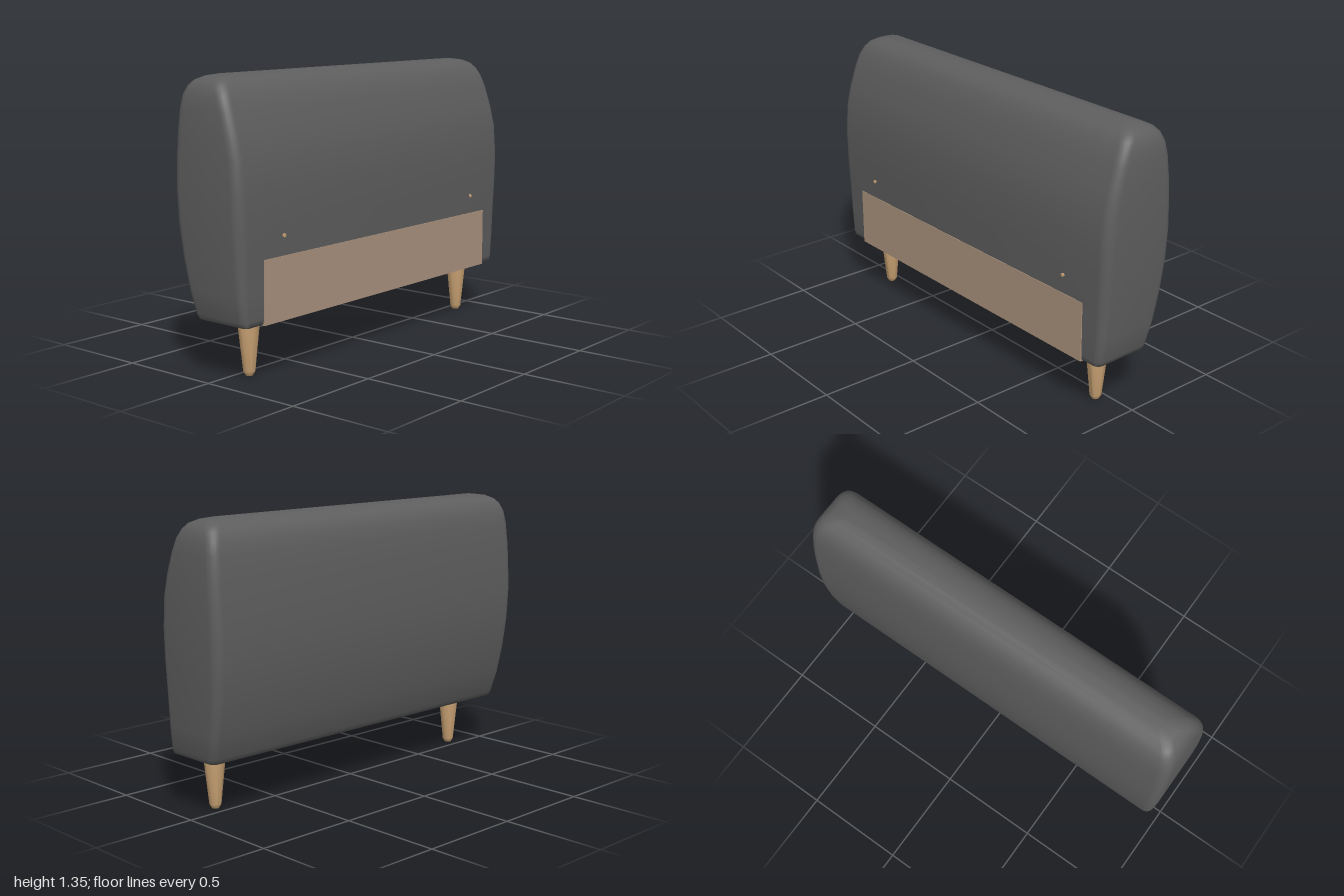
import * as THREE from 'three';
import { toCreasedNormals } from 'three/addons/utils/BufferGeometryUtils.js';

const material = (name, color) => new THREE.MeshStandardMaterial({ name, color });

// Upholstered shell: rounded-rectangle sections stacked upwards, open underneath
function cushionGeometry() {
  // y, back x, front x, half length, corner radius
  const rows = [
    [0.34, -0.09, 0.17, 0.93, 0.02],
    [0.265, -0.085, 0.17, 0.925, 0.02],
    [0.261, -0.095, 0.178, 0.94, 0.025],
    [0.268, -0.108, 0.188, 0.957, 0.03],
    [0.29, -0.119, 0.191, 0.966, 0.035],
    [0.4, -0.152, 0.192, 0.977, 0.04],
    [0.55, -0.182, 0.194, 0.986, 0.045],
    [0.7, -0.2, 0.198, 0.995, 0.05],
    [0.85, -0.205, 0.198, 0.999, 0.05],
    [1.0, -0.199, 0.186, 0.999, 0.05],
    [1.1, -0.192, 0.162, 0.997, 0.05],
    [1.2, -0.182, 0.13, 0.992, 0.05],
    [1.26, -0.17, 0.106, 0.985, 0.05],
    [1.3, -0.152, 0.082, 0.972, 0.05],
    [1.325, -0.128, 0.058, 0.953, 0.045],
    [1.342, -0.095, 0.025, 0.92, 0.04],
    [1.35, -0.058, -0.008, 0.86, 0.02],
  ];
  const steps = 6;
  const n = 4 * (steps + 1);
  const positions = [];
  const index = [];
  for (const [y, x0, x1, hz, r] of rows) {
    for (let c = 0; c < 4; c++) {
      const cx = c === 0 || c === 3 ? x1 - r : x0 + r;
      const cz = c < 2 ? hz - r : r - hz;
      for (let s = 0; s <= steps; s++) {
        const a = (c + s / steps) * Math.PI / 2;
        positions.push(cx + r * Math.cos(a), y, cz + r * Math.sin(a));
      }
    }
  }
  for (let i = 0; i < rows.length - 1; i++) {
    for (let j = 0; j < n; j++) {
      const k = (j + 1) % n;
      const a = i * n + j, b = i * n + k;
      index.push(a, a + n, b, b, a + n, b + n);
    }
  }
  // Top cap
  const top = (rows.length - 1) * n;
  positions.push(-0.033, 1.351, 0);
  for (let j = 0; j < n; j++) index.push(top + n, top + (j + 1) % n, top + j);

  const g = new THREE.BufferGeometry();
  g.setAttribute('position', new THREE.Float32BufferAttribute(positions, 3));
  g.setIndex(index);
  return toCreasedNormals(g, 0.9);
}

export function createModel() {
  const group = new THREE.Group();
  const fabric = material('charcoal fabric', 0x5e5e5e);
  fabric.side = THREE.DoubleSide;
  const panel = material('pale board', 0xab937e);
  const wood = material('warm wood', 0xcfa777);

  const add = (name, geometry, mat, x, y, z) => {
    const mesh = new THREE.Mesh(geometry, mat);
    mesh.name = name;
    mesh.position.set(x, y, z);
    group.add(mesh);
    return mesh;
  };
  // Box given by its limits on each axis
  const box = (name, mat, x0, x1, y0, y1, z0, z1) =>
    add(name, new THREE.BoxGeometry(x1 - x0, y1 - y0, z1 - z0), mat,
      (x0 + x1) / 2, (y0 + y1) / 2, (z0 + z1) / 2);

  add('cushion', cushionGeometry(), fabric, 0, 0, 0);

  // Exposed board and the underside frame
  box('frontBoard', panel, 0.13, 0.197, 0.26, 0.553, -0.855, 0.842);
  box('innerCeiling', panel, -0.09, 0.17, 0.335, 0.345, -0.925, 0.925);
  box('backRail', panel, -0.088, -0.07, 0.266, 0.34, -0.92, 0.92);

  // Long rail and cross braces
  const rail = add('longRail', new THREE.CylinderGeometry(0.04, 0.04, 1.36, 12), wood, 0, 0.305, -0.02);
  rail.rotation.x = Math.PI / 2;
  for (const z of [-0.67, -0.05, 0.63]) {
    box('crossBrace', wood, -0.07, 0.13, 0.275, 0.32, z - 0.03, z + 0.03);
  }

  // Tapered legs with chamfered feet, set in end blocks
  const legProfile = [[0, 0], [0.017, 0.002], [0.028, 0.02], [0.055, 0.28], [0, 0.28]]
    .map(([x, y]) => new THREE.Vector2(x, y));
  for (const side of [-1, 1]) {
    add('endBlock', new THREE.BoxGeometry(0.21, 0.06, 0.2), panel, 0.03, 0.302, side * 0.82);
    const leg = toCreasedNormals(new THREE.LatheGeometry(legProfile, 10), 0.7);
    add('leg', leg, wood, 0.055, 0, side < 0 ? -0.815 : 0.797);
  }

  // Small fixings above the board
  for (const z of [0.715, -0.73]) {
    const pin = add('fixing', new THREE.CylinderGeometry(0.009, 0.009, 0.009, 8), wood, 0.199, 0.645, z);
    pin.rotation.z = -Math.PI / 2;
  }
  return group;
}
